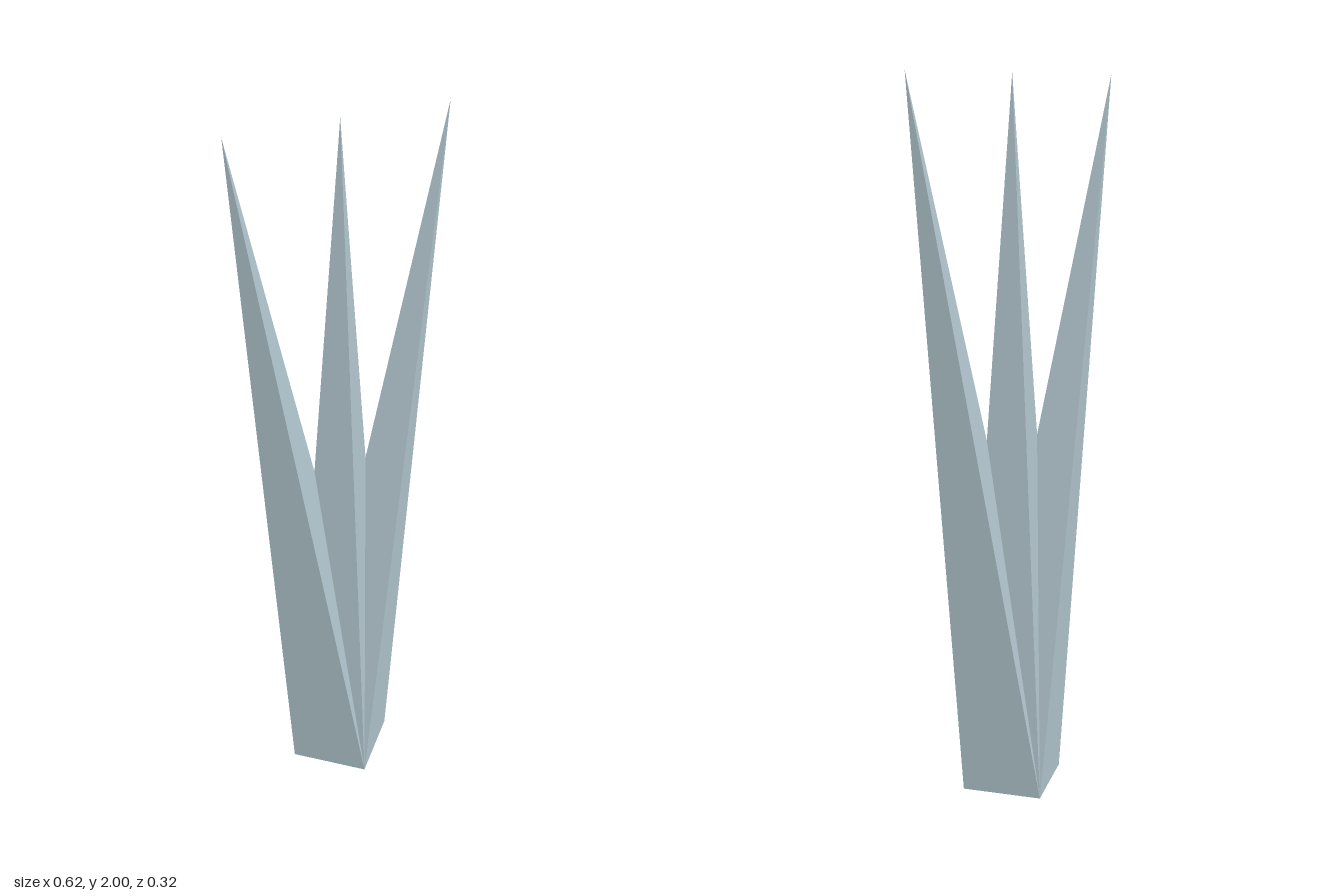
import * as THREE from 'three';

export function createModel() {
  const group = new THREE.Group();
  group.name = 'threeSpikedCrystal';
  const paleSteel = new THREE.MeshStandardMaterial({ color: 0xb0c4cc });
  paleSteel.name = 'paleSteelBlue';

  // Half outline in the middle plane: base corner, outer tip, valley, centre tip
  const outline = [[0.16, 0], [0.31, 2], [0.08, 1.02], [0, 2]];
  const ridge = 0.16; // depth of the front and back base corners

  // Flat facets fanning from a base corner to the outline, mirrored in x and z
  function facets(name, from, to) {
    const points = [];
    for (const sx of [1, -1]) {
      for (const sz of [1, -1]) {
        for (let i = from; i < to; i++) {
          const apex = [0, 0, sz * ridge];
          const a = [sx * outline[i][0], outline[i][1], 0];
          const b = [sx * outline[i + 1][0], outline[i + 1][1], 0];
          points.push(...apex, ...(sx * sz > 0 ? [...a, ...b] : [...b, ...a]));
        }
      }
    }
    addMesh(name, points);
  }

  function addMesh(name, points) {
    const geometry = new THREE.BufferGeometry();
    geometry.setAttribute('position', new THREE.Float32BufferAttribute(points, 3));
    geometry.computeVertexNormals();
    const mesh = new THREE.Mesh(geometry, paleSteel);
    mesh.name = name;
    group.add(mesh);
  }

  facets('outerSpikes', 0, 2);
  facets('centreSpike', 2, 3);

  // Diamond underside, facing down
  const w = outline[0][0];
  addMesh('base', [
    0, 0, ridge, -w, 0, 0, w, 0, 0,
    0, 0, -ridge, w, 0, 0, -w, 0, 0,
  ]);

  return group;
}
